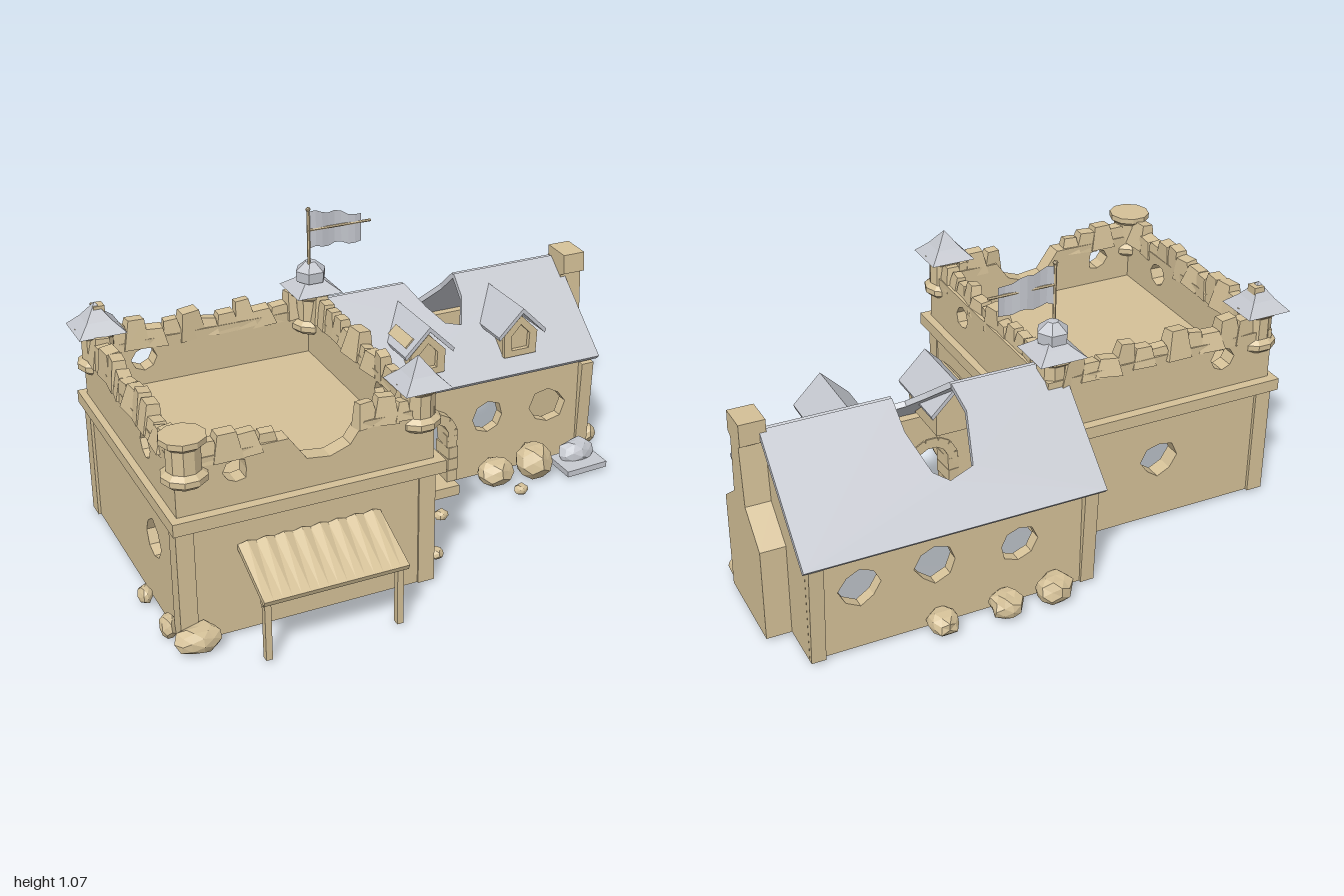
import * as THREE from 'three';

const stone = new THREE.MeshStandardMaterial({ color: 0xd5c198, flatShading: true, side: THREE.DoubleSide });
stone.name = 'sandstone';
const slate = new THREE.MeshStandardMaterial({ color: 0xc6c9d0, flatShading: true, side: THREE.DoubleSide });
slate.name = 'greySlate';

let seed = 7;
const rnd = () => (seed = (seed * 16807) % 2147483647) / 2147483647;
const jit = (a) => (rnd() - 0.5) * 2 * a;

export function createModel() {
  const root = new THREE.Group();
  root.name = 'fortifiedHouse';

  const add = (name, geo, mat, x = 0, y = 0, z = 0) => {
    const m = new THREE.Mesh(geo, mat);
    m.name = name;
    m.position.set(x, y, z);
    root.add(m);
    return m;
  };
  const box = (name, mat, x0, x1, y0, y1, z0, z1) =>
    add(name, new THREE.BoxGeometry(x1 - x0, y1 - y0, z1 - z0), mat, (x0 + x1) / 2, (y0 + y1) / 2, (z0 + z1) / 2);
  const v2 = (pts) => pts.map(([x, y]) => new THREE.Vector2(x, y));

  // Ragged breach outline
  const breach = (x, y, r) => Array.from({ length: 8 }, (_, i) => {
    const a = -(i / 8) * Math.PI * 2, k = r * (0.98 + jit(0.14));
    return [x + Math.cos(a) * k, y + Math.sin(a) * k];
  });
  // Flat slab cut from an outline, centred on its thickness
  const slab = (name, pts, holes, depth, mat) => {
    const s = new THREE.Shape(v2(pts));
    holes.forEach((h) => s.holes.push(new THREE.Path(v2(h))));
    const g = new THREE.ExtrudeGeometry(s, { depth, bevelEnabled: false });
    g.translate(0, 0, -depth / 2);
    return add(name, g, mat);
  };
  const wallZ = (name, pts, holes, d, z) => { slab(name, pts, holes, d, stone).position.z = z; };
  // Side walls: outline given as [z, y]
  const flip = (pts) => pts.map(([z, y]) => [-z, y]);
  const wallX = (name, pts, holes, d, x) => {
    const m = slab(name, flip(pts), holes.map(flip), d, stone);
    m.rotation.y = Math.PI / 2;
    m.position.x = x;
  };

  // ---- Keep ----
  const dip = [[-0.3, 0.67], [-0.35, 0.6], [-0.42, 0.575], [-0.5, 0.585], [-0.56, 0.67]];
  wallZ('keepFrontWall', [[-0.94, 0.01], [-0.05, 0.01], [-0.05, 0.67], ...dip, [-0.94, 0.67]],
    [breach(-0.74, 0.6, 0.042)], 0.06, 0.5);
  wallZ('keepBackWall', [[-0.94, 0.01], [-0.05, 0.01], [-0.05, 0.67], [-0.94, 0.67]],
    [breach(-0.74, 0.6, 0.045), breach(-0.5, 0.25, 0.07)], 0.06, -0.39);
  for (const [n, x] of [['Right', -0.91], ['Left', -0.08]]) {
    wallX('keep' + n + 'Wall', [[-0.42, 0.01], [0.53, 0.01], [0.53, 0.67], [-0.42, 0.67]],
      [breach(0.25, 0.6, 0.045), breach(0.27, 0.26, 0.072)], 0.06, x);
  }
  box('keepRoofFloor', stone, -0.9, -0.09, 0.48, 0.5, -0.38, 0.49);

  // String course around the keep
  box('frontCornice', stone, -0.96, -0.02, 0.435, 0.48, 0.52, 0.565);
  box('backCornice', stone, -0.96, -0.02, 0.435, 0.48, -0.455, -0.41);
  box('rightCornice', stone, -0.965, -0.93, 0.435, 0.48, -0.455, 0.565);
  box('leftCornice', stone, -0.06, -0.02, 0.435, 0.48, -0.455, 0.565);
  for (const x of [-0.92, -0.075]) for (const z of [-0.4, 0.505])
    box('cornerPost', stone, x - 0.03, x + 0.03, 0.01, 0.44, z - 0.032, z + 0.032);

  // Broken capstones along the parapet
  const capstone = (x, z, alongX) => {
    const w = 0.034 + rnd() * 0.016, h = 0.06 + rnd() * 0.05;
    const g = new THREE.CylinderGeometry(w * 0.85, w * 1.35, h, 4);
    g.rotateY(Math.PI / 4);
    g.scale(alongX ? 1.1 : 0.8, 1, alongX ? 0.8 : 1.1);
    const m = add('parapetStone', g, stone, x, 0.64 + h / 2, z);
    m.rotation.set(jit(0.12), jit(0.15), jit(0.12));
  };
  for (let i = 0; i < 11; i++) {
    const x = -0.83 + i * 0.068;
    if (x < -0.57 || x > -0.3) capstone(x, 0.5, true);
    capstone(x, -0.39, true);
  }
  for (let i = 0; i < 12; i++) {
    const z = -0.31 + i * 0.067;
    capstone(-0.91, z, false);
    capstone(-0.085, z, false);
  }

  // Corner turrets
  const lathe = (pts, n) => new THREE.LatheGeometry(v2(pts), n, Math.PI / n);
  const turretProfile = [[0, 0.59], [0.06, 0.59], [0.077, 0.605], [0.077, 0.625], [0.058, 0.64],
    [0.058, 0.72], [0.077, 0.735], [0.077, 0.755], [0, 0.755]];
  const pyramid = (y, r, h) => lathe([[0, y], [r * 1.41, y], [r * 0.75, y + h * 0.4], [0, y + h]], 4);
  for (const [x, z] of [[-0.9, 0.51], [-0.09, 0.49], [-0.9, -0.37], [-0.095, -0.36]])
    add('turret', lathe(turretProfile, 10), stone, x, 0, z);
  add('turretRoof', pyramid(0.745, 0.085, 0.1), slate, -0.09, 0, 0.49);
  add('turretRoof', pyramid(0.745, 0.085, 0.1), slate, -0.9, 0, -0.37);
  box('turretRoofStub', stone, -0.91, -0.87, 0.76, 0.832, -0.395, -0.352);
  add('flagTurretRoof', pyramid(0.75, 0.088, 0.08), slate, -0.095, 0, -0.36);
  add('flagTurretCap', lathe([[0, 0.79], [0.055, 0.79], [0.058, 0.83], [0.02, 0.862], [0, 0.865]], 6), slate, -0.1, 0, -0.35);

  // Flag
  const pole = (name, r, len) => add(name, new THREE.CylinderGeometry(r, r, len, 6), stone);
  pole('flagPole', 0.006, 0.25).position.set(-0.112, 0.945, -0.335);
  add('poleKnob', new THREE.IcosahedronGeometry(0.01, 0), stone, -0.112, 1.065, -0.335);
  const bar = pole('flagCrossbar', 0.005, 0.25);
  bar.rotation.z = Math.PI / 2;
  bar.position.set(0.008, 0.986, -0.335);
  const flag = new THREE.PlaneGeometry(0.205, 0.14, 8, 3);
  const fp = flag.attributes.position;
  for (let i = 0; i < fp.count; i++) {
    const t = fp.getX(i) / 0.205 + 0.5;
    fp.setY(i, fp.getY(i) * (1 - 0.25 * t) - 0.025 * t * t + 0.006 * Math.sin(t * 14));
    fp.setZ(i, 0.005 * Math.sin(t * 9));
  }
  add('flag', flag, slate, -0.007, 0.985, -0.337);

  // Awning with folded canopy and two posts
  const n = 16, canopy = new THREE.BoxGeometry(0.5, 0.02, 0.235, n, 1, 1), cp = canopy.attributes.position;
  for (let i = 0; i < cp.count; i++) {
    const k = Math.round((cp.getX(i) / 0.5 + 0.5) * n), back = cp.getZ(i) < 0;
    cp.setY(i, cp.getY(i) + (k % 2 ? (back ? 0.012 : 0) : 0));
  }
  const awning = add('awning', canopy, stone, -0.495, 0.28, 0.637);
  awning.rotation.x = 0.39;
  for (const x of [-0.725, -0.265]) box('awningPost', stone, x - 0.011, x + 0.011, 0.01, 0.235, 0.7, 0.725);
  box('awningRail', stone, -0.74, -0.25, 0.212, 0.235, 0.703, 0.722);

  // ---- House ----
  const door = [[0.15, 0.04], [0.15, 0.23], [0.175, 0.28], [0.22, 0.3], [0.265, 0.28], [0.29, 0.23], [0.29, 0.04]];
  wallZ('houseFrontWall', [[-0.06, 0.01], [0.91, 0.01], [0.91, 0.43], [-0.06, 0.43]],
    [door, breach(0.47, 0.25, 0.062), breach(0.73, 0.245, 0.072)], 0.04, -0.045);
  wallZ('houseBackWall', [[-0.11, 0.01], [0.91, 0.01], [0.91, 0.42], [-0.11, 0.42]],
    [breach(0.17, 0.24, 0.065), breach(0.47, 0.25, 0.07), breach(0.73, 0.245, 0.07)], 0.04, -0.625);
  wallX('houseGable', [[-0.645, 0.01], [-0.025, 0.01], [-0.025, 0.425], [-0.34, 0.69], [-0.645, 0.42]], [], 0.035, 0.893);
  wallX('houseRearGable', [[-0.645, 0.01], [-0.42, 0.01], [-0.42, 0.61], [-0.645, 0.415]], [], 0.03, -0.095);
  wallX('houseInnerGable', [[-0.42, 0.45], [-0.05, 0.45], [-0.34, 0.69]], [], 0.03, -0.06);

  // Leaning corner buttresses
  const buttress = (x, z, h, lean) => { const b = box('buttress', stone, x - 0.025, x + 0.025, 0.01, h, z - 0.022, z + 0.022); b.rotation.x = lean; };
  buttress(0.885, -0.65, 0.4, -0.06);
  buttress(0.885, -0.03, 0.4, 0.05);
  buttress(-0.09, -0.64, 0.4, -0.04);
  buttress(-0.05, -0.01, 0.34, 0.03);

  // Roof slopes, breached at the ridge
  const slope = (name, pts, dy, dz) => {
    const m = slab(name, pts, [], 0.02, slate);
    m.position.set(0, 0.705, -0.34);
    m.rotation.x = Math.atan2(dz, dy);
  };
  slope('frontRoof', [[-0.04, 0], [-0.04, -0.447], [0.93, -0.447], [0.93, 0], [0.48, 0], [0.475, -0.1],
    [0.43, -0.21], [0.37, -0.19], [0.32, -0.11], [0.27, 0]], 0.29, -0.34);
  slope('backRoof', [[-0.13, 0], [-0.13, -0.475], [0.93, -0.475], [0.93, 0], [0.48, 0], [0.475, -0.12],
    [0.43, -0.27], [0.38, -0.31], [0.29, -0.28], [0.25, -0.1], [0.27, 0]], 0.32, 0.35);

  // Dormers
  for (const x of [0.22, 0.605]) {
    const body = slab('dormerBody', [[-0.062, 0.46], [0.062, 0.46], [0.062, 0.57], [0, 0.64], [-0.062, 0.57]], [], 0.2, stone);
    body.position.set(x, 0, -0.15);
    const frame = slab('dormerWindowFrame', [[-0.066, 0.475], [0.066, 0.475], [0.07, 0.565], [0, 0.635], [-0.07, 0.565]],
      [[[-0.035, 0.5], [-0.038, 0.56], [0, 0.6], [0.038, 0.56], [0.035, 0.5]]], 0.02, stone);
    frame.position.set(x, 0, -0.043);
    const roof = slab('dormerRoof', [[-0.095, 0.555], [0, 0.65], [0.095, 0.555], [0.1, 0.57], [0, 0.67], [-0.1, 0.57]], [], 0.275, slate);
    roof.position.set(x, 0, -0.1575);
  }
  // Bare timber along one dormer eave
  const eave = add('dormerBareEave', new THREE.BoxGeometry(0.045, 0.008, 0.14), stone, 0.153, 0.606, -0.12);
  eave.rotation.z = Math.PI / 4;

  // Doorway: jamb blocks, arch stones and step
  for (const s of [-1, 1]) for (let i = 0; i < 4; i++) {
    const b = box('doorJamb', stone, 0.2 + s * 0.08, 0.24 + s * 0.08, 0.04 + i * 0.048, 0.086 + i * 0.048, -0.07, 0.02);
    b.rotation.y = jit(0.1);
  }
  for (let i = 0; i <= 6; i++) {
    const a = (i / 6) * Math.PI;
    const b = add('archStone', new THREE.BoxGeometry(0.038, 0.045, 0.09), stone, 0.22 + Math.cos(a) * 0.08, 0.232 + Math.sin(a) * 0.08, -0.025);
    b.rotation.z = a;
  }
  box('doorStep', stone, 0.13, 0.31, 0, 0.04, -0.06, 0.06);

  // Chimney
  wallX('chimney', [[-0.48, 0.01], [-0.145, 0.01], [-0.145, 0.37], [-0.25, 0.45], [-0.26, 0.66], [-0.235, 0.67],
    [-0.24, 0.745], [-0.355, 0.75], [-0.355, 0.67], [-0.34, 0.66], [-0.36, 0.45], [-0.48, 0.35]], [], 0.09, 0.953);

  // Boulders: x, z, half width, height, half depth
  const boulder = (name, mat, x, z, rx, h, rz) => {
    const g = new THREE.IcosahedronGeometry(1, 1), p = g.attributes.position, k = rnd() * 9;
    for (let i = 0; i < p.count; i++) {
      const [a, b, c] = [p.getX(i), p.getY(i), p.getZ(i)];
      const f = 0.97 + 0.12 * Math.sin(a * 5 + k) * Math.cos(c * 4 + b * 3 + k);
      p.setXYZ(i, a * f * rx, Math.min(1, Math.max(-0.9, b * f * 1.15)) * h / 2, c * f * rz);
    }
    add(name, g, mat, x, h / 2, z);
  };
  [[-0.9, 0.565, 0.08, 0.09, 0.055], [-0.965, 0.45, 0.03, 0.08, 0.04], [-0.97, 0.23, 0.025, 0.06, 0.035],
    [0.01, 0.27, 0.06, 0.12, 0.07], [0.03, 0.04, 0.05, 0.14, 0.065], [0.165, 0.19, 0.026, 0.04, 0.024],
    [0.52, 0.155, 0.027, 0.04, 0.024], [0.03, 0.41, 0.027, 0.04, 0.026], [0.47, 0.045, 0.075, 0.1, 0.06],
    [0.63, 0.055, 0.075, 0.13, 0.075], [0.055, -0.69, 0.07, 0.1, 0.06], [0.235, -0.69, 0.06, 0.09, 0.06],
    [0.46, -0.68, 0.055, 0.08, 0.06], [0.96, -0.1, 0.036, 0.07, 0.04],
  ].forEach((b) => boulder('boulder', stone, ...b));
  boulder('greyBoulder', slate, 0.83, 0.04, 0.075, 0.1, 0.05);
  box('greySlab', slate, 0.735, 0.905, 0.012, 0.035, 0, 0.14).rotation.z = 0.04;

  return root;
}
